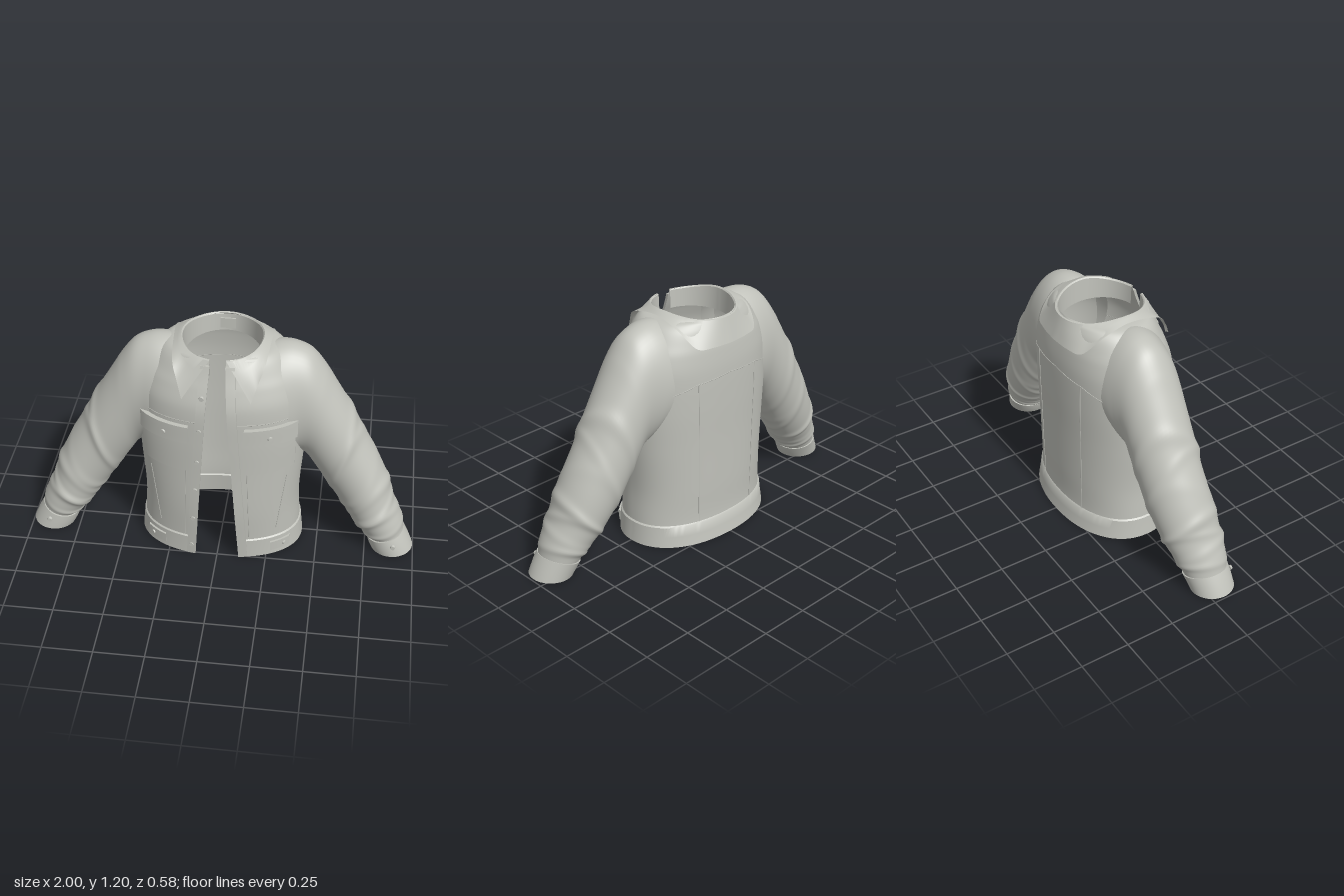
import * as THREE from 'three';
import { toCreasedNormals } from 'three/addons/utils/BufferGeometryUtils.js';

const fabric = new THREE.MeshStandardMaterial({ color: 0xc0c1ba, side: THREE.DoubleSide });
fabric.name = 'grey fabric';

// Smooth interpolation of table rows; the first column is the key.
function sample(table, k) {
  const n = table.length - 1;
  let i = 0;
  while (i < n - 1 && k > table[i + 1][0]) i++;
  const h = table[i + 1][0] - table[i][0];
  const s = Math.min(1, Math.max(0, (k - table[i][0]) / h));
  const slope = (j, c) => {
    const a = table[Math.max(0, j - 1)], b = table[Math.min(n, j + 1)];
    return (b[c] - a[c]) / (b[0] - a[0]);
  };
  return table[i].slice(1).map((p, j) => {
    const c = j + 1, q = table[i + 1][c], s2 = s * s, s3 = s2 * s;
    return p * (2 * s3 - 3 * s2 + 1) + q * (3 * s2 - 2 * s3)
      + h * (slope(i, c) * (s3 - 2 * s2 + s) + slope(i + 1, c) * (s3 - s2));
  });
}

// Grid surface from fn(i, j) -> [x, y, z].
function grid(name, nu, nv, fn, crease = 0) {
  const pos = [], index = [];
  for (let j = 0; j <= nv; j++) for (let i = 0; i <= nu; i++) pos.push(...fn(i, j));
  for (let j = 0; j < nv; j++) for (let i = 0; i < nu; i++) {
    const a = j * (nu + 1) + i, b = a + nu + 1;
    index.push(a, a + 1, b, b, a + 1, b + 1);
  }
  let geo = new THREE.BufferGeometry();
  geo.setAttribute('position', new THREE.Float32BufferAttribute(pos, 3));
  geo.setIndex(index);
  if (crease) geo = toCreasedNormals(geo, crease);
  else geo.computeVertexNormals();
  const mesh = new THREE.Mesh(geo, fabric);
  mesh.name = name;
  return mesh;
}

// Torso sections: height, half width, front depth, back depth, squareness
const TORSO = [
  [0.0, 0.408, 0.252, 0.278, 2.2], [0.12, 0.402, 0.26, 0.264, 2.2], [0.3, 0.394, 0.272, 0.266, 2.25],
  [0.55, 0.41, 0.275, 0.267, 2.25], [0.75, 0.42, 0.278, 0.27, 2.25], [0.93, 0.41, 0.274, 0.268, 2.25],
  [1.03, 0.38, 0.246, 0.258, 2.2], [1.08, 0.35, 0.226, 0.248, 2.15], [1.13, 0.315, 0.208, 0.236, 2.1],
  [1.155, 0.29, 0.201, 0.229, 2], [1.17, 0.255, 0.197, 0.224, 2], [1.178, 0.2, 0.195, 0.22, 2]];
const opening = y => 0.04 + 0.075 * (1 - y / 1.15);

// Point on the torso: u runs from the left front edge round the back to the right front edge
function torsoPoint(u, y, off = 0) {
  const [w, zf, zb, n] = sample(TORSO, y);
  const a0 = Math.asin(Math.pow(opening(y) / w, n / 2));
  const a = a0 + u * (2 * Math.PI - 2 * a0), s = Math.sin(a), c = Math.cos(a);
  return [(w + off) * Math.sign(s) * Math.abs(s) ** (2 / n), y,
    ((c > 0 ? zf : zb) + off) * Math.sign(c) * Math.abs(c) ** (2 / n)];
}
function torsoZ(x, y, off = 0, back = false) {
  const [w, zf, zb, n] = sample(TORSO, y);
  const r = Math.min(1, Math.abs(x) / (w + off));
  const d = Math.pow(1 - r ** n, 1 / n);
  return back ? -(zb + off) * d : (zf + off) * d;
}

// Raised panel following the torso front; outline(u, v) -> [x, y]
function panel(name, side, off, outline, nu = 16, nv = 12) {
  return grid(name, nu + 2, nv + 2, (i, j) => {
    const u = Math.min(nu, Math.max(0, i - 1)) / nu, v = Math.min(nv, Math.max(0, j - 1)) / nv;
    const rim = i === 0 || j === 0 || i === nu + 2 || j === nv + 2;
    const [x, y] = outline(u, v);
    return [side * x, y, torsoZ(x, y, rim ? 0 : off)];
  }, 0.7);
}
const rect = (x0, x1, y0, y1) => (u, v) => [x0 + (x1 - x0) * u, y0 + (y1 - y0) * v];

function button(name, x, y, off, r = 0.014) {
  const e = 0.01;
  const m = new THREE.Mesh(new THREE.CylinderGeometry(r * 0.8, r, 0.01, 16), fabric);
  const nx = (torsoZ(x - e, y) - torsoZ(x + e, y)) / (2 * e);
  m.quaternion.setFromUnitVectors(new THREE.Vector3(0, 1, 0), new THREE.Vector3(nx, 0, 1).normalize());
  m.position.set(x, y, torsoZ(x, y, off));
  m.name = name;
  return m;
}

// Fine raised seam along points [x, y] on the front or back
function seam(name, pts, back = false) {
  const path = [];
  for (let i = 0; i < pts.length - 1; i++) for (let k = 0; k <= 8; k++) {
    if (k === 0 && i > 0) continue;
    const x = pts[i][0] + (pts[i + 1][0] - pts[i][0]) * k / 8, y = pts[i][1] + (pts[i + 1][1] - pts[i][1]) * k / 8;
    path.push(new THREE.Vector3(x, y, torsoZ(x, y, 0.001, back)));
  }
  const m = new THREE.Mesh(new THREE.TubeGeometry(new THREE.CatmullRomCurve3(path), 40, 0.002, 5), fabric);
  m.name = name;
  return m;
}

// Sleeve sections: key, outer x y, inner x y, front z, back z; the first ones flare into the torso
const SLEEVE = [
  [0, 0.2, 1.16, 0.36, 0.6, 0.2, -0.205], [1, 0.28, 1.175, 0.385, 0.575, 0.182, -0.196],
  [2, 0.355, 1.168, 0.403, 0.56, 0.165, -0.186], [3, 0.43, 1.132, 0.418, 0.545, 0.155, -0.178],
  [4, 0.495, 1.052, 0.435, 0.525, 0.15, -0.175], [5, 0.55, 0.96, 0.46, 0.485, 0.148, -0.174],
  [6, 0.64, 0.805, 0.505, 0.415, 0.146, -0.17], [7, 0.705, 0.68, 0.555, 0.335, 0.145, -0.164],
  [8, 0.78, 0.545, 0.605, 0.262, 0.15, -0.152], [9, 0.84, 0.415, 0.645, 0.205, 0.158, -0.135],
  [10, 0.875, 0.31, 0.675, 0.165, 0.162, -0.115], [11, 0.925, 0.2, 0.725, 0.11, 0.16, -0.085],
  [12, 0.945, 0.115, 0.765, 0.065, 0.15, -0.065]];
const CUFF = [
  [0.935, 0.122, 0.775, 0.075, 0.145, -0.06], [0.945, 0.124, 0.755, 0.07, 0.16, -0.075],
  [0.972, 0.075, 0.765, 0.038, 0.165, -0.063], [0.998, 0.016, 0.782, 0.006, 0.168, -0.052],
  [0.986, 0.014, 0.794, 0.006, 0.156, -0.04], [0.945, 0.09, 0.78, 0.055, 0.142, -0.05]];
// Cloth folds: key, height, width, tilt round the sleeve
const FOLDS = [[6.1, 0.05, 0.25, 0.4], [6.9, 0.04, 0.22, -0.4], [7.9, 0.04, 0.25, 0.5], [9.1, 0.07, 0.26, -0.3],
  [9.8, 0.05, 0.2, 0.3], [10.5, 0.08, 0.2, -0.25], [11.3, 0.1, 0.22, 0.2]];

function ring(row, phi, scale, side) {
  const [ox, oy, ix, iy, zf, zb] = row, c = Math.cos(phi) * scale, s = Math.sin(phi) * scale;
  return [side * ((ox + ix) / 2 + c * (ox - ix) / 2), (oy + iy) / 2 + c * (oy - iy) / 2, (zf + zb) / 2 + s * (zf - zb) / 2];
}

function makeSleeve(side) {
  const g = new THREE.Group();
  g.name = side > 0 ? 'leftSleeve' : 'rightSleeve';
  g.add(grid('sleeve', 56, 120, (i, j) => {
    const t = 12 * j / 120, phi = Math.PI + 2 * Math.PI * i / 56;
    let f = 1;
    for (const [k, h, w, tilt] of FOLDS)
      f += h * (0.65 + 0.35 * Math.cos(phi - k * 2)) * Math.exp(-(((t - k - tilt * Math.sin(phi)) / w) ** 2));
    return ring(sample(SLEEVE, t), phi, f, side);
  }));
  g.add(grid('cuff', 48, 5, (i, j) => ring(CUFF[j], Math.PI + 2 * Math.PI * i / 48, 1, side), 0.7));
  const b = new THREE.Mesh(new THREE.CylinderGeometry(0.011, 0.014, 0.012, 16), fabric);
  b.name = 'cuffButton';
  b.rotation.x = Math.PI / 2;
  b.position.set(side * 0.895, 0.07, 0.163);
  g.add(b);
  return g;
}

// Lower edge of the folded collar: angle / pi, x, y, z
const FALL = [[0.064, 0.165, 0.995, 0.272], [0.2, 0.19, 1.07, 0.235], [0.35, 0.22, 1.145, 0.17], [0.5, 0.235, 1.184, 0.0],
  [0.62, 0.238, 1.155, -0.14], [0.75, 0.195, 1.07, -0.238], [0.88, 0.11, 1.06, -0.268], [1, 0, 1.058, -0.278]];

function makeCollar() {
  return grid('collar', 80, 7, (i, j) => {
    const side = i <= 40 ? 1 : -1, k = 0.064 + 0.936 * (i <= 40 ? i : 80 - i) / 40;
    const s = Math.sin(k * Math.PI), c = Math.cos(k * Math.PI), top = 1.178 + 0.024 * s ** 4;
    const at = (r, y) => [0.205 * r * s, y, (c > 0 ? 0.205 : 0.238) * r * c];
    const low = sample(FALL, k);
    let p;
    if (j === 0) p = at(0.92, 1.08);
    else if (j === 1) p = at(0.94, top - 0.006);
    else if (j === 2) p = at(0.97, top);
    else if (j <= 6) p = at(1, top - 0.002).map((a, n) => a + (low[n] - a) * (j - 3) / 3);
    else p = [low[0] * 0.96, low[1] + 0.004, low[2] * 0.95];
    return [side * p[0], p[1], p[2]];
  }, 0.7);
}

export function createModel() {
  const model = new THREE.Group();
  model.name = 'jacket';

  // Body shell and hem band
  model.add(grid('body', 120, 60, (i, j) => torsoPoint(i / 120, 0.012 + 1.166 * (1 - (1 - j / 60) ** 1.8))));
  const hem = [[0.12, 0], [0.113, 0.007], [0.06, 0.009], [0.006, 0.012], [0.006, -0.008], [0.115, -0.008], [0.12, 0]];
  model.add(grid('hemBand', 120, 6, (i, j) => torsoPoint(i / 120, ...hem[j]), 0.7));

  for (const s of [1, -1]) {
    model.add(makeSleeve(s));
    // Button placket, chest pocket, flap and hem tab
    model.add(panel('placket', s, 0.014, (u, v) => {
      const y = 0.007 + 1.143 * v;
      return [opening(y) - 0.003 + 0.045 * u, y];
    }, 4, 40));
    model.add(panel('chestPocket', s, 0.012, rect(0.145, 0.375, 0.565, 0.78)));
    model.add(panel('pocketFlap', s, 0.022, rect(0.135, 0.385, 0.745, 0.84)));
    model.add(button('flapButton', s * 0.26, 0.785, 0.024));
    model.add(panel('hemTab', s, 0.018, rect(0.27, 0.365, 0.035, 0.09)));
    model.add(button('tabButton', s * 0.34, 0.062, 0.02, 0.012));
    // Seams and slanted side pockets
    model.add(seam('frontYokeSeam', [[s * 0.1, 0.862], [s * 0.34, 0.862]]));
    model.add(seam('frontSeam', [[s * 0.165, 0.12], [s * 0.15, 0.56]]));
    model.add(seam('slantedPocket', [[s * 0.295, 0.17], [s * 0.34, 0.51]]));
    model.add(seam('backSeam', [[s * 0.18, 0.12], [s * 0.19, 0.88]], true));
  }
  model.add(seam('backYokeSeam', [[-0.33, 0.84], [-0.2, 0.885], [0, 0.9], [0.2, 0.885], [0.33, 0.84]], true));

  // Front buttons on the right placket
  for (const y of [1.0, 0.82, 0.63, 0.45, 0.26, 0.07])
    model.add(button('frontButton', -(opening(y) + 0.02), y, 0.014));

  // Collar and blank neck tab
  model.add(makeCollar());
  const tab = new THREE.Mesh(new THREE.BoxGeometry(0.075, 0.055, 0.008), fabric);
  tab.name = 'neckTab';
  tab.position.set(0, 1.125, -0.212);
  model.add(tab);
  return model;
}
